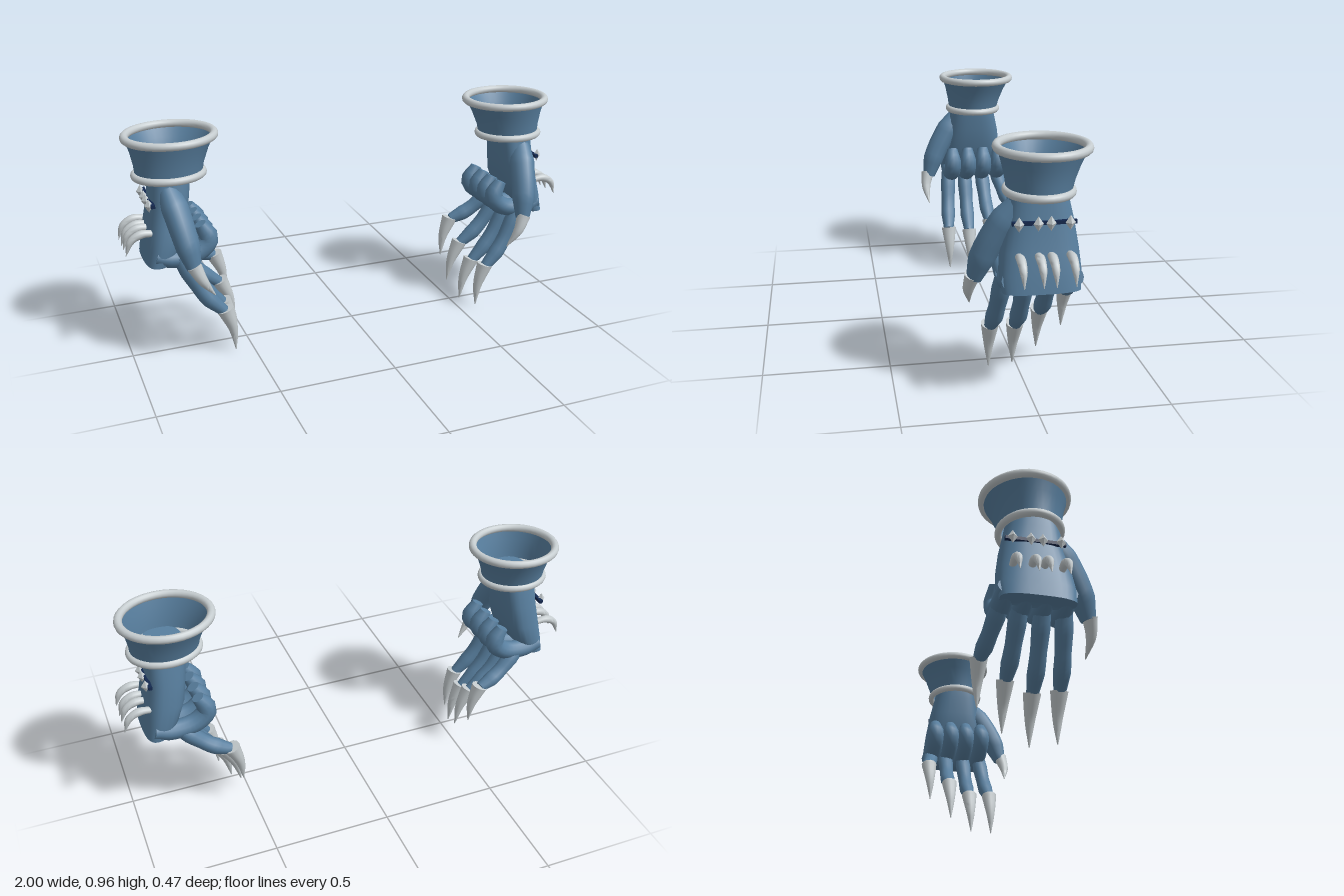
import * as THREE from 'three';
import { mergeVertices, toCreasedNormals } from 'three/addons/utils/BufferGeometryUtils.js';

const V = (x, y, z) => new THREE.Vector3(x, y, z);

// Skin a stack of closed rings; optional caps close both ends with fans
function skin(rings, capped = true) {
  const rows = [...rings];
  if (capped) {
    const point = (ring) => {
      const c = ring.reduce((s, p) => s.add(p), V(0, 0, 0)).divideScalar(ring.length);
      return ring.map(() => c);
    };
    rows.unshift(point(rings[0]));
    rows.push(point(rings[rings.length - 1]));
  }
  const n = rings[0].length, index = [];
  for (let i = 0; i < rows.length - 1; i++) {
    for (let j = 0; j < n; j++) {
      const a = i * n + j, b = i * n + (j + 1) % n;
      if (!capped || i > 0) index.push(a, b, a + n);
      if (!capped || i < rows.length - 2) index.push(b, b + n, a + n);
    }
  }
  const g = new THREE.BufferGeometry().setFromPoints(rows.flat());
  g.setIndex(index);
  return mergeVertices(toCreasedNormals(g, 0.9));
}

// Horizontal sections: [y, centre x, radius x, centre z, radius z], squareness e
function loft(sections, e, capped, n) {
  const bend = (v) => Math.sign(v) * Math.pow(Math.abs(v), 2 / e);
  return skin(sections.map(([y, cx, rx, cz, rz]) => Array.from({ length: n }, (_, j) => {
    const a = j / n * Math.PI * 2;
    return V(cx + rx * bend(Math.sin(a)), y, cz + rz * bend(Math.cos(a)));
  })), capped);
}

// Tube along a smooth path with radii spread evenly over its length
function limb(points, radii, steps = 16, n = 12) {
  const curve = new THREE.CatmullRomCurve3(points);
  const { normals, binormals } = curve.computeFrenetFrames(steps);
  return skin(Array.from({ length: steps + 1 }, (_, i) => {
    const t = i / steps * (radii.length - 1), k = Math.min(Math.floor(t), radii.length - 2);
    const r = THREE.MathUtils.lerp(radii[k], radii[k + 1], t - k), p = curve.getPointAt(i / steps);
    return Array.from({ length: n }, (_, j) => {
      const a = j / n * Math.PI * 2;
      return p.clone().addScaledVector(normals[i], r * Math.cos(a)).addScaledVector(binormals[i], r * Math.sin(a));
    });
  }));
}

function hoop(radius, tube, zScale, x, y, z) {
  return new THREE.TorusGeometry(radius, tube, 12, 40).rotateX(Math.PI / 2).scale(1, 1, zScale).translate(x, y, z);
}

// Mirror across x = 0, keeping faces outward
function mirror(g) {
  const m = g.clone().scale(-1, 1, 1), ix = m.index.array;
  for (let i = 0; i < ix.length; i += 3) [ix[i], ix[i + 1]] = [ix[i + 1], ix[i]];
  return m;
}

export function createModel() {
  const mat = (name, color, extra = {}) => {
    const m = new THREE.MeshStandardMaterial({ color, ...extra });
    m.name = name;
    return m;
  };
  const blue = mat('steelBlue', 0x587f9f, { side: THREE.DoubleSide });
  const silver = mat('silver', 0xc6cdd0);
  const navy = mat('navy', 0x14294f);
  const parts = [];
  const add = (name, geometry, material) => parts.push({ name, geometry, material });

  // Flared cuff with two rolled rims
  add('cuff', loft([
    [0.785, 0.785, 0.137, -0.035, 0.118], [0.83, 0.782, 0.143, -0.038, 0.127],
    [0.89, 0.776, 0.16, -0.044, 0.145], [0.943, 0.77, 0.182, -0.05, 0.167],
  ], 2, false, 40), blue);
  add('topRim', hoop(0.181, 0.017, 0.92, 0.77, 0.943, -0.05), silver);
  add('wristRim', hoop(0.139, 0.016, 0.87, 0.785, 0.788, -0.035), silver);

  // Wrist and back of the hand
  add('hand', loft([
    [0.435, 0.875, 0.048, -0.03, 0.145], [0.5, 0.842, 0.073, -0.03, 0.152],
    [0.58, 0.818, 0.082, -0.031, 0.144], [0.68, 0.8, 0.08, -0.035, 0.125],
    [0.77, 0.79, 0.082, -0.03, 0.11], [0.82, 0.785, 0.08, -0.03, 0.1],
  ], 2.8, true, 32), blue);

  // Thumb and its claw
  add('thumb', limb([V(0.81, 0.75, 0.04), V(0.79, 0.66, 0.105), V(0.77, 0.55, 0.165), V(0.752, 0.45, 0.198)],
    [0.04, 0.056, 0.054, 0.05, 0.03]), blue);
  add('thumbClaw', limb([V(0.755, 0.465, 0.203), V(0.725, 0.4, 0.215), V(0.675, 0.325, 0.205)],
    [0.031, 0.02, 0.002]), silver);

  // Folded knuckle row: four curled segments closing the palm
  for (let i = 0; i < 4; i++) {
    const z = 0.083 - i * 0.077;
    add('foldedKnuckle', limb([V(0.885, 0.48, z), V(0.81, 0.46, z), V(0.71, 0.475, z), V(0.662, 0.525, z), V(0.695, 0.595, z)],
      [0.036, 0.041, 0.041, 0.041, 0.041, 0.026]), blue);
  }

  // Long fingers: base z, end [x, y, z], claw tip [x, y, z]
  const fingers = [
    [0.093, [0.622, 0.2, 0.115], [0.578, 0.008, 0.115]],
    [0.01, [0.605, 0.19, 0.013], [0.547, 0, 0.013]],
    [-0.077, [0.592, 0.24, -0.088], [0.528, 0.055, -0.088]],
    [-0.148, [0.588, 0.325, -0.19], [0.54, 0.145, -0.187]],
  ];
  for (const [z, [ex, ey, ez], [tx, ty, tz]] of fingers) {
    const base = V(0.79, 0.47, z), end = V(ex, ey, ez);
    const mid = (t, sag) => base.clone().lerp(end, t).add(V(sag, -sag * 0.5, 0));
    add('finger', limb([base, mid(0.35, 0.012), mid(0.7, 0.016), end], [0.032, 0.037, 0.033, 0.035, 0.024]), blue);
    const root = V(ex - 0.004, ey + 0.008, ez), tip = V(tx, ty, tz);
    add('fingerClaw', limb([root, root.clone().lerp(tip, 0.5).add(V(-0.012, 0, 0)), tip],
      [0.036, 0.026, 0.015, 0.002]), silver);
  }

  // Band, studs and hooked spikes across the back of the hand
  add('band', new THREE.BoxGeometry(0.016, 0.014, 0.235).translate(0.878, 0.691, -0.037), navy);
  for (const z of [0.058, -0.012, -0.058, -0.128]) {
    add('diamondStud', mergeVertices(new THREE.OctahedronGeometry(1).scale(0.018, 0.028, 0.019).translate(0.892, 0.691, z)), silver);
    add('backSpike', limb([V(0.88, 0.57, z), V(0.93, 0.574, z), V(0.975, 0.55, z), V(0.999, 0.488, z)],
      [0.013, 0.018, 0.014, 0.001], 14, 10), silver);
  }

  const model = new THREE.Group();
  model.name = 'clawedGauntlets';
  for (const side of ['left', 'right']) {
    const gauntlet = new THREE.Group();
    gauntlet.name = side + 'Gauntlet';
    for (const { name, geometry, material } of parts) {
      const mesh = new THREE.Mesh(side === 'left' ? geometry : mirror(geometry), material);
      mesh.name = name;
      gauntlet.add(mesh);
    }
    model.add(gauntlet);
  }
  return model;
}
